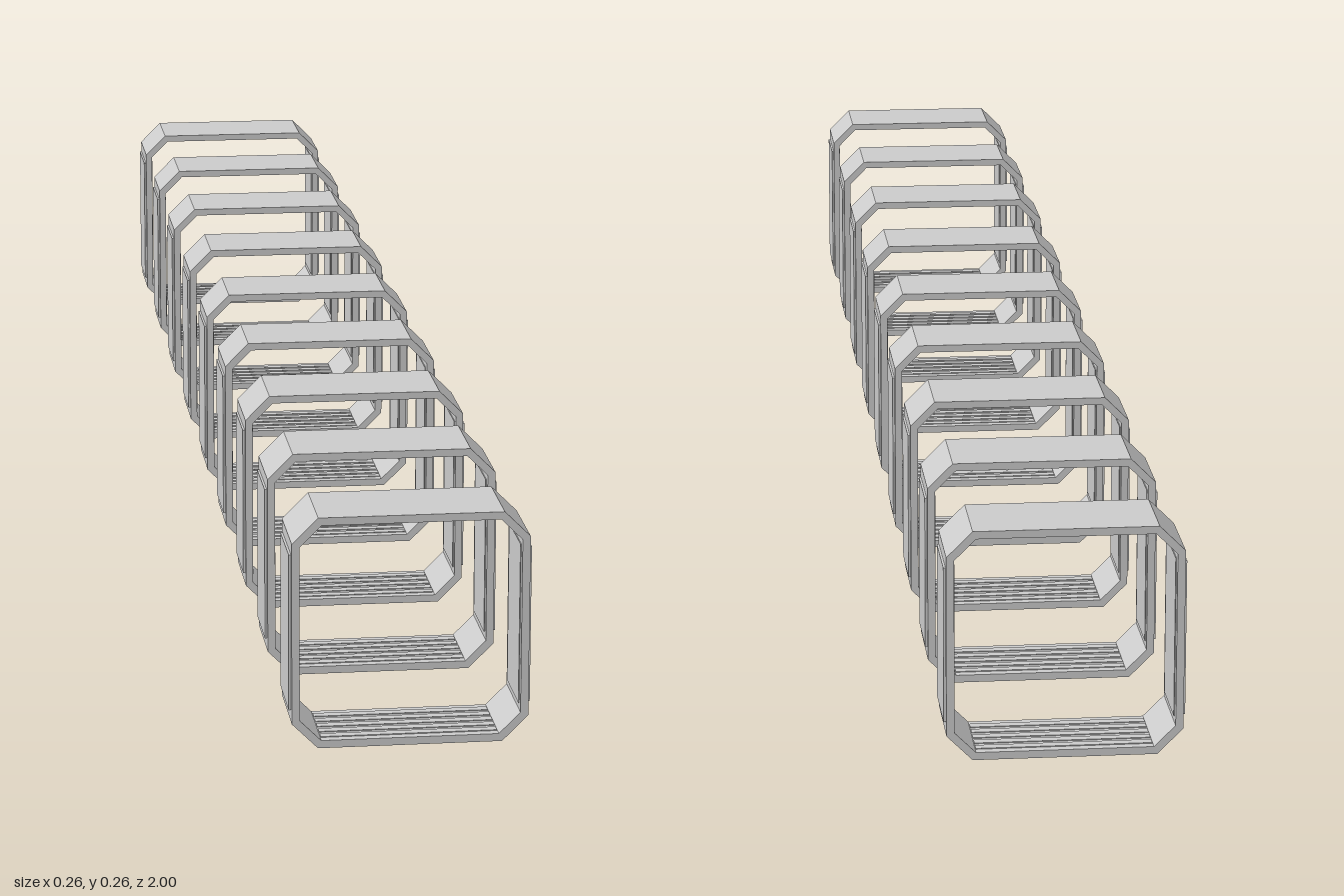
import * as THREE from 'three';

const COUNT = 9, DEPTH = 0.093, SPACING = (2 - DEPTH) / (COUNT - 1);
const HALF_W = 0.127, HEIGHT = 0.256, CHAMFER = 0.028, WALL = 0.0085;

// Chamfered rectangle centred on x, standing on y = 0, shrunk by an inset
function octagon(PathType, inset) {
  const w = HALF_W - inset, y0 = inset, y1 = HEIGHT - inset;
  const c = CHAMFER - inset * 0.586;
  const path = new PathType();
  path.setFromPoints([
    [w - c, y0], [w, y0 + c], [w, y1 - c], [w - c, y1],
    [c - w, y1], [-w, y1 - c], [-w, y0 + c], [c - w, y0],
  ].map(([x, y]) => new THREE.Vector2(x, y)));
  path.closePath();
  return path;
}

export function createModel() {
  const model = new THREE.Group();
  model.name = 'corridorFrames';
  const material = new THREE.MeshStandardMaterial({ color: 0xcccccc, flatShading: true });

  // Shared geometries
  const shape = octagon(THREE.Shape, 0);
  shape.holes.push(octagon(THREE.Path, WALL));
  const frameGeo = new THREE.ExtrudeGeometry(shape, { depth: DEPTH, bevelEnabled: false });
  frameGeo.translate(0, 0, -DEPTH / 2);
  const outerPanelGeo = new THREE.BoxGeometry(0.004, 0.173, 0.079);
  const innerPanelGeo = new THREE.BoxGeometry(0.002, 0.178, 0.075);
  const slatGeo = new THREE.BoxGeometry(0.19, 0.002, 0.01);

  const add = (parent, name, geometry, x, y, z) => {
    const mesh = new THREE.Mesh(geometry, material);
    mesh.name = name;
    mesh.position.set(x, y, z);
    parent.add(mesh);
  };

  for (let i = 0; i < COUNT; i++) {
    const section = new THREE.Group();
    section.name = 'frameSection';
    section.position.z = (i - (COUNT - 1) / 2) * SPACING;
    add(section, 'octagonalFrame', frameGeo, 0, 0, 0);

    // Raised panels on both faces of the side walls
    for (const side of [-1, 1]) {
      add(section, 'outerSidePanel', outerPanelGeo, side * 0.1275, HEIGHT / 2, 0);
      add(section, 'innerSidePanel', innerPanelGeo, side * (HALF_W - WALL), HEIGHT / 2, 0);
    }

    // Low floor slats
    for (let s = -2; s <= 2; s++) add(section, 'floorSlat', slatGeo, 0, WALL, s * 0.016);

    model.add(section);
  }
  return model;
}
